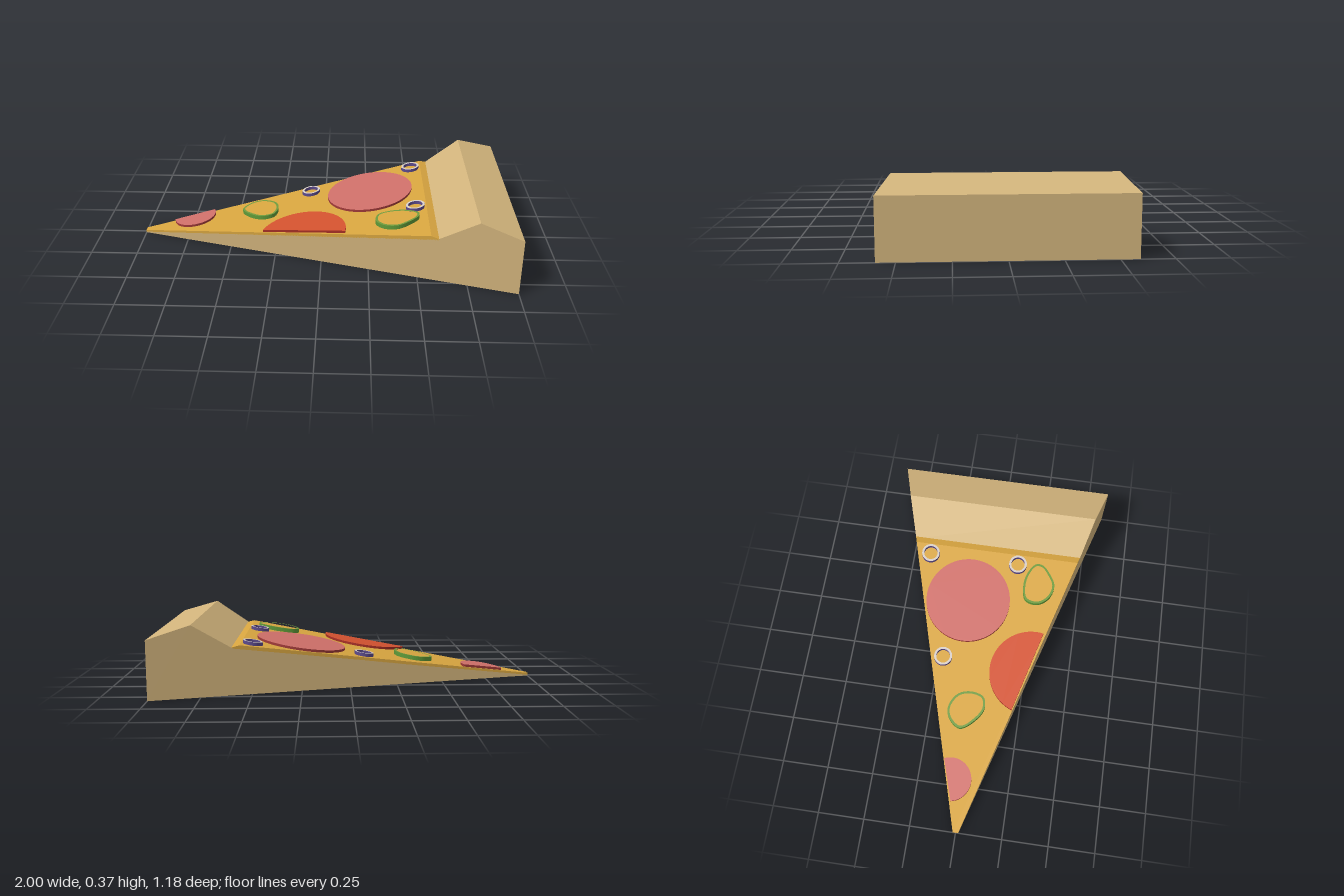
import * as THREE from 'three';

const mat = (color) => new THREE.MeshStandardMaterial({ color });

// Half width of the wedge and height of the cheese at a given x
const halfWidth = (x) => 0.015 + 0.2875 * (x + 1);
const cheeseTop = (x) => 0.015 + 0.1526 * (x + 1);

function named(name, geometry, material) {
  const mesh = new THREE.Mesh(geometry, material);
  mesh.name = name;
  return mesh;
}

// Side profile extruded across z, then tapered to the tip
function wedge(name, profile, color) {
  const shape = new THREE.Shape(profile.map(([x, y]) => new THREE.Vector2(x, y)));
  const geo = new THREE.ExtrudeGeometry(shape, { depth: 2, bevelEnabled: false });
  geo.translate(0, 0, -1);
  const p = geo.attributes.position;
  for (let i = 0; i < p.count; i++) p.setZ(i, p.getZ(i) * halfWidth(p.getX(i)));
  geo.computeVertexNormals();
  return named(name, geo, mat(color));
}

// Flat outline in (x, z) laid on the sloping cheese
function topping(name, shape, height, capColor, sideColor) {
  const geo = new THREE.ExtrudeGeometry(shape, { depth: height, bevelEnabled: false, curveSegments: 32 });
  geo.rotateX(-Math.PI / 2);
  const p = geo.attributes.position;
  for (let i = 0; i < p.count; i++) p.setY(i, p.getY(i) + cheeseTop(p.getX(i)));
  geo.computeVertexNormals();
  return named(name, geo, [mat(capColor), mat(sideColor)]);
}

// Disc cut off where it would overhang the wedge
function cutDisc(cx, cz, r) {
  const points = [];
  for (let i = 0; i < 72; i++) {
    const a = (i / 72) * Math.PI * 2;
    const x = cx + r * Math.cos(a);
    const z = cz + r * Math.sin(a);
    if (Math.abs(z) <= halfWidth(x)) points.push(new THREE.Vector2(x, -z));
  }
  return new THREE.Shape(points);
}

// Thin closed band following a loop of (x, z) points
function band(loop, thickness) {
  const curve = new THREE.CatmullRomCurve3(loop.map(([x, z]) => new THREE.Vector3(x, -z, 0)), true);
  const outer = curve.getPoints(48).slice(0, -1).map((v) => new THREE.Vector2(v.x, v.y));
  const centre = outer.reduce((s, v) => s.add(v), new THREE.Vector2()).divideScalar(outer.length);
  const inner = outer.map((v) => {
    const d = v.clone().sub(centre);
    return centre.clone().add(d.setLength(d.length() - thickness));
  });
  const shape = new THREE.Shape(outer);
  shape.holes.push(new THREE.Path(inner));
  return shape;
}

export function createModel() {
  const group = new THREE.Group();
  group.name = 'pizzaSlice';

  // Dough with the raised crust at the wide end
  group.add(wedge('doughAndCrust', [
    [-1, 0], [1, 0], [1, 0.3], [0.79, 0.365], [0.59, 0.238], [-1, 0.005],
  ], 0xd2b47c));

  // Cheese layer
  group.add(wedge('cheese', [
    [-1, 0.004], [0.6, 0.236], [0.6, 0.243], [0.56, 0.253], [-1, 0.015],
  ], 0xd9a640));

  // Sausage slices: x, z, radius, top colour, rim colour
  [
    [0.26, -0.12, 0.235, 0xd0706a, 0xa03a38],
    [-0.1, 0.285, 0.23, 0xd4522f, 0xa82f25],
    [-0.73, -0.07, 0.115, 0xd0706a, 0xa03a38],
  ].forEach(([x, z, r, cap, side], i) => {
    group.add(topping('sausageSlice' + (i + 1), cutDisc(x, z, r), 0.013, cap, side));
  });

  // Green pepper rings
  [
    [[-0.455, -0.06], [-0.41, -0.125], [-0.35, -0.14], [-0.275, -0.1], [-0.25, -0.03],
      [-0.27, 0.045], [-0.33, 0.06], [-0.4, 0.02]],
    [[0.287, 0.27], [0.3, 0.2], [0.36, 0.178], [0.44, 0.185], [0.51, 0.23],
      [0.51, 0.27], [0.46, 0.32], [0.4, 0.35], [0.33, 0.33]],
  ].forEach((loop, i) => {
    group.add(topping('pepperRing' + (i + 1), band(loop, 0.012), 0.022, 0x6f9a3c, 0x5f9a38));
  });

  // Onion rings
  [[-0.075, -0.21], [0.5, -0.37], [0.5, 0.13]].forEach(([x, z], i) => {
    const ring = new THREE.Shape().absarc(x, -z, 0.05, 0, Math.PI * 2);
    ring.holes.push(new THREE.Path().absarc(x, -z, 0.038, 0, Math.PI * 2));
    group.add(topping('onionRing' + (i + 1), ring, 0.018, 0xd6cdc6, 0x5c4a8c));
  });

  return group;
}
